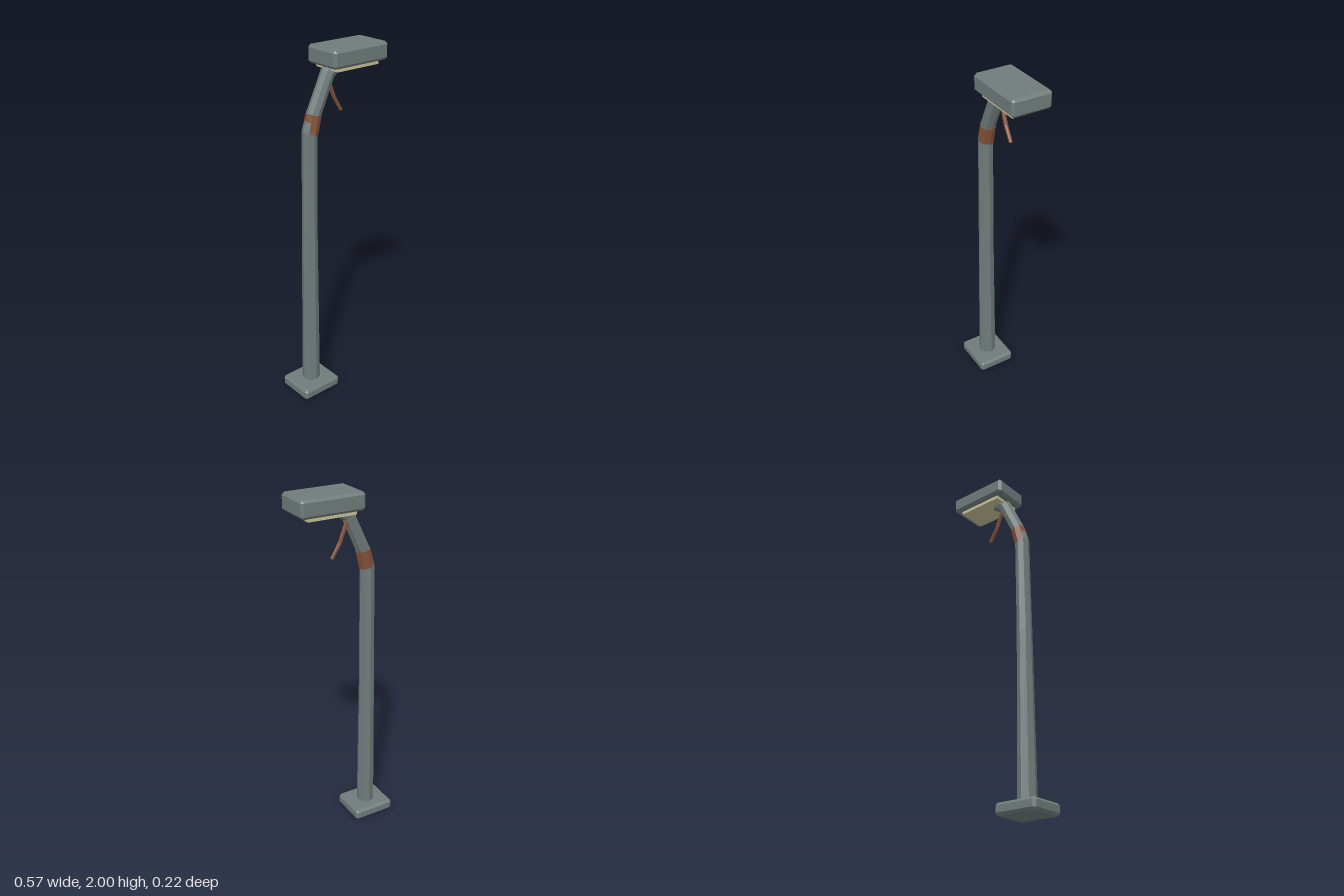
import * as THREE from 'three';
import { ConvexGeometry } from 'three/addons/geometries/ConvexGeometry.js';

const material = (color) => new THREE.MeshStandardMaterial({ color, flatShading: true });
const metal = material(0x6f7b7a);
const rust = material(0x845238);
const glass = material(0xc4bf98);

// Box with all twelve edges cut by a flat chamfer c
function chamferBox(w, h, d, c) {
  const points = [];
  for (const sx of [-1, 1]) for (const sy of [-1, 1]) for (const sz of [-1, 1]) {
    const [x, y, z] = [w / 2, h / 2, d / 2];
    points.push(
      new THREE.Vector3(sx * x, sy * (y - c), sz * (z - c)),
      new THREE.Vector3(sx * (x - c), sy * y, sz * (z - c)),
      new THREE.Vector3(sx * (x - c), sy * (y - c), sz * z)
    );
  }
  return new ConvexGeometry(points);
}

// Faceted tapered tube along nodes [x, y, radius] in the xy plane, with mitred bends
function bentTube(nodes, sides) {
  const position = [];
  const index = [];
  const dirs = nodes.slice(1).map((n, i) =>
    new THREE.Vector2(n[0] - nodes[i][0], n[1] - nodes[i][1]).normalize());
  nodes.forEach(([x, y, r], i) => {
    const before = dirs[Math.max(i - 1, 0)];
    const after = dirs[Math.min(i, dirs.length - 1)];
    const t = before.clone().add(after).normalize();
    const miter = 1 / t.dot(after);
    for (let k = 0; k < sides; k++) {
      const a = (k / sides) * Math.PI * 2;
      const u = Math.cos(a) * r * miter;
      position.push(x + t.y * u, y - t.x * u, Math.sin(a) * r);
    }
  });
  const last = (nodes.length - 1) * sides;
  for (let i = 0; i < nodes.length - 1; i++) for (let k = 0; k < sides; k++) {
    const a = i * sides + k;
    const b = i * sides + (k + 1) % sides;
    index.push(a, a + sides, b, b, a + sides, b + sides);
  }
  // End caps
  for (let k = 1; k < sides - 1; k++) {
    index.push(0, k, k + 1, last, last + k + 1, last + k);
  }
  const g = new THREE.BufferGeometry();
  g.setAttribute('position', new THREE.Float32BufferAttribute(position, 3));
  g.setIndex(index);
  const flat = g.toNonIndexed();
  flat.computeVertexNormals();
  return flat;
}

export function createModel() {
  const model = new THREE.Group();
  model.name = 'streetLamp';
  const add = (name, geometry, mat, x = 0, y = 0, z = 0) => {
    const mesh = new THREE.Mesh(geometry, mat);
    mesh.name = name;
    mesh.position.set(x, y, z);
    model.add(mesh);
  };

  // Foot plate
  add('base', chamferBox(0.25, 0.065, 0.222, 0.014), metal, -0.163, 0.0345, 0);

  // Octagonal post that bends over into the arm
  add('pole', bentTube([
    [-0.163, 0.04, 0.052], [-0.159, 1.0, 0.043], [-0.151, 1.58, 0.041],
    [-0.125, 1.667, 0.039], [-0.031, 1.866, 0.038], [0.04, 1.915, 0.036]
  ], 8), metal);

  // Rusty collar at the bend
  add('rustBand', bentTube([[-0.148, 1.572, 0.043], [-0.124, 1.668, 0.042]], 8), rust);

  // Lamp head with its light panel underneath
  add('lampHead', chamferBox(0.362, 0.095, 0.222, 0.014), metal, 0.106, 1.9525, 0);
  add('lightPanel', new THREE.BoxGeometry(0.275, 0.03, 0.17), glass, 0.103, 1.9, 0);

  // Loose cable hanging from the arm
  add('hangingCable', bentTube([
    [-0.03, 1.87, 0.012], [0.024, 1.73, 0.011], [0.072, 1.652, 0.01]
  ], 6), rust, 0, 0, -0.016);

  return model;
}
